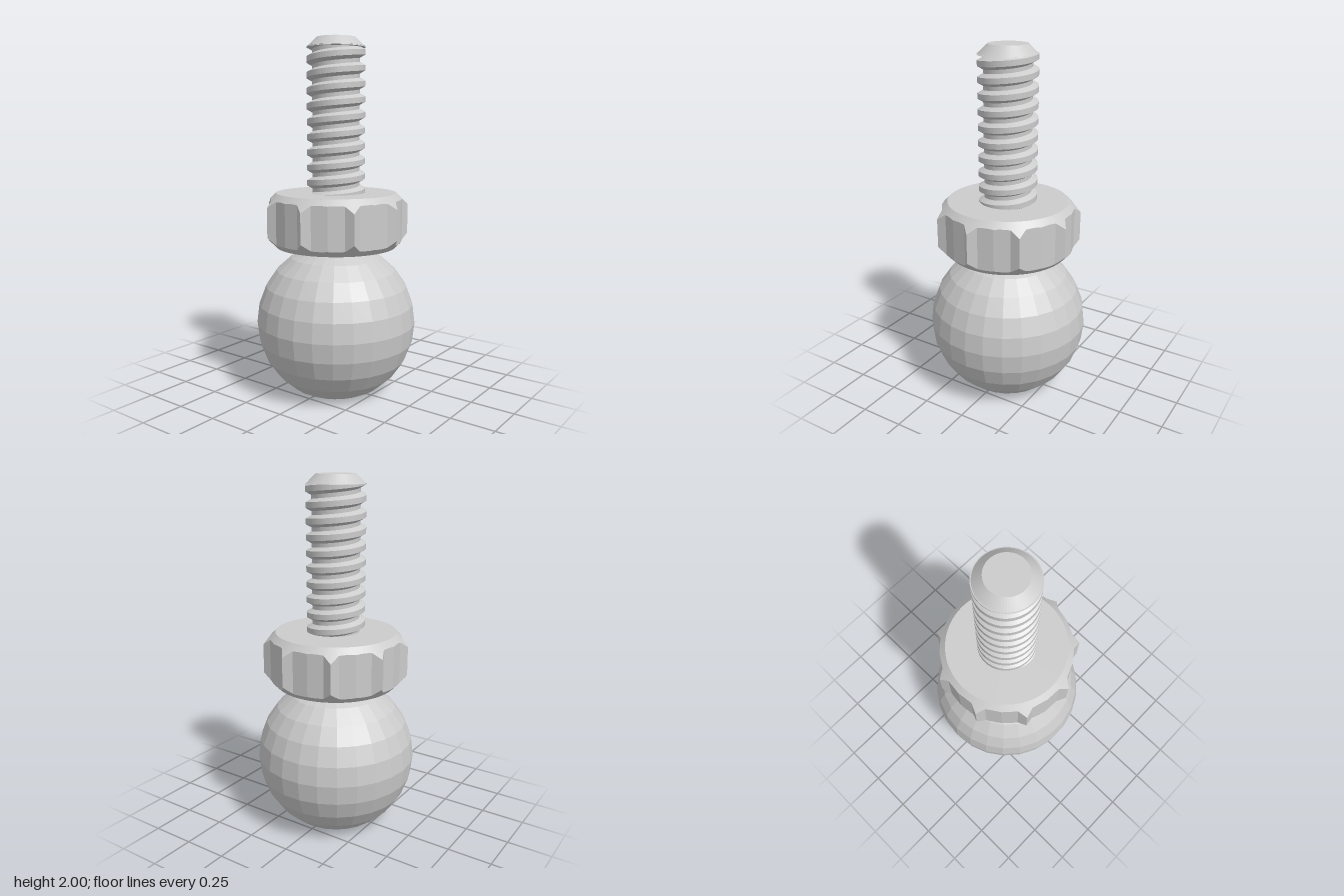
import * as THREE from 'three';

const grey = (flat) => new THREE.MeshStandardMaterial({ color: 0xcccccc, flatShading: flat });

// Surface through columns x rows points; columns run counter-clockwise seen from above, rows run upward
function gridSurface(columns, rows, point) {
  const pos = [], index = [];
  for (let i = 0; i <= columns; i++)
    for (let j = 0; j <= rows; j++) pos.push(...point(i, j));
  const n = rows + 1;
  for (let i = 0; i < columns; i++)
    for (let j = 0; j < rows; j++) {
      const a = i * n + j, b = a + n;
      index.push(a, b, b + 1, a, b + 1, a + 1);
    }
  const g = new THREE.BufferGeometry();
  g.setAttribute('position', new THREE.Float32BufferAttribute(pos, 3));
  g.setIndex(index);
  g.computeVertexNormals();
  return g;
}

function part(parent, name, geometry, flat = true) {
  const m = new THREE.Mesh(geometry, grey(flat));
  m.name = name;
  parent.add(m);
  return m;
}

// Faceted ball cut flat at the bottom
function addBall(root) {
  const R = 0.455, cy = 0.4;
  const profile = [new THREE.Vector2(0, 0), new THREE.Vector2(0.209, 0)];
  for (let k = -4; k <= 6; k++) {
    const t = k * Math.PI / 13;
    profile.push(new THREE.Vector2(R * Math.cos(t), cy + R * Math.sin(t)));
  }
  part(root, 'ball', new THREE.LatheGeometry(profile, 26, Math.PI / 2));
}

// Collar with nine pointed grip ridges and conical chamfers
function addCollar(root) {
  const collar = new THREE.Group();
  collar.name = 'collar';
  root.add(collar);
  const bottom = 0.84, top = 1.145, rim = 0.34, ridges = 9, sub = 4;

  // Outline corners of one ridge and the gap after it: [degrees, radius]
  const corners = [];
  for (let k = 0; k < ridges; k++)
    for (const [deg, r] of [[0, 0.41], [6.2, 0.374], [20, 0.374], [33.8, 0.374]]) {
      const a = THREE.MathUtils.degToRad(deg + k * 360 / ridges);
      corners.push(new THREE.Vector2(r * Math.cos(a), -r * Math.sin(a)));
    }
  const outline = [];
  corners.forEach((p, i) => {
    const q = corners[(i + 1) % corners.length];
    for (let s = 0; s < sub; s++) outline.push(p.clone().lerp(q, s / sub));
  });
  const n = outline.length;
  const at = (i) => outline[i % n];

  const wallPoint = (i, upper) => {
    const p = at(i), drop = p.length() - rim;
    return [p.x, upper ? top - drop : bottom + drop, p.y];
  };
  const rimPoint = (i, y) => {
    const p = at(i).clone().setLength(rim);
    return [p.x, y, p.y];
  };
  part(collar, 'gripWall', gridSurface(n, 1, (i, j) => wallPoint(i, j === 1)));
  part(collar, 'upperChamfer',
    gridSurface(n, 1, (i, j) => j ? rimPoint(i, top) : wallPoint(i, true)), false);
  part(collar, 'lowerChamfer',
    gridSurface(n, 1, (i, j) => j ? wallPoint(i, false) : rimPoint(i, bottom)), false);

  // Flat faces
  for (const [name, y, s] of [['collarTop', top, -1], ['collarBottom', bottom, 1]]) {
    const face = part(collar, name, new THREE.CircleGeometry(rim, 96));
    face.rotation.x = s * Math.PI / 2;
    face.position.y = y;
  }
}

// Right-handed screw thread with a chamfered tip
function addStud(root) {
  const stud = new THREE.Group();
  stud.name = 'stud';
  root.add(stud);
  const pitch = 0.085, low = 1.12, high = 1.95, segments = 64, turns = 12;
  // One pitch of the thread: [fraction of pitch, radius]
  const tooth = [[0, 0.132], [0.25, 0.132], [0.45, 0.163], [0.8, 0.163]];
  part(stud, 'thread', gridSurface(segments, turns * tooth.length, (i, j) => {
    const a = i / segments * Math.PI * 2;
    const [f, r] = tooth[j % tooth.length];
    const turn = Math.floor(j / tooth.length) + f + i / segments;
    const y = THREE.MathUtils.clamp(1.01 + pitch * turn, low, high);
    return [r * Math.cos(a), y, -r * Math.sin(a)];
  }));
  const tip = part(stud, 'tip', new THREE.CylinderGeometry(0.108, 0.163, 0.055, 64));
  tip.position.y = 2 - 0.0275;
}

export function createModel() {
  const root = new THREE.Group();
  root.name = 'ballStud';
  addBall(root);
  addCollar(root);
  addStud(root);
  return root;
}
